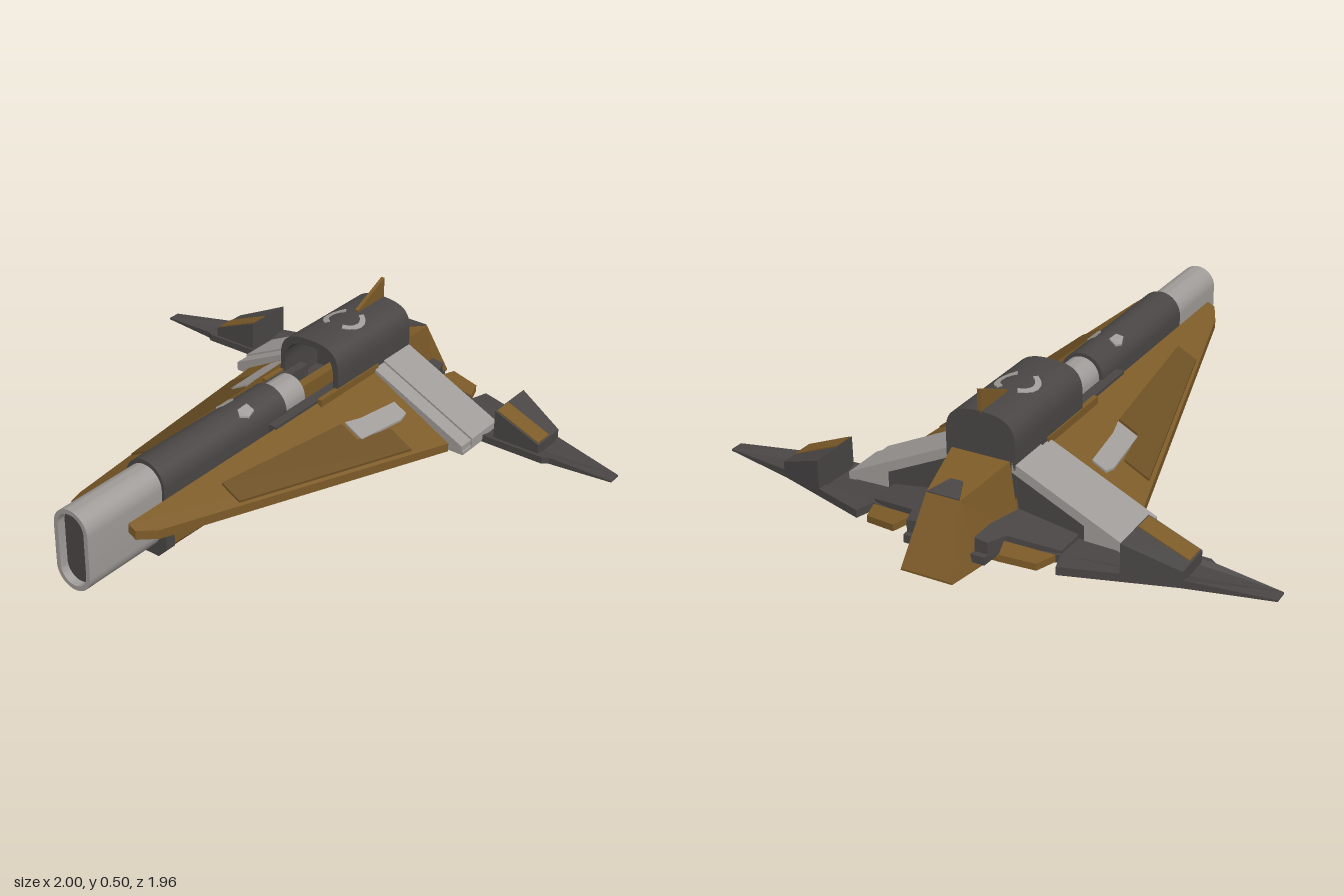
import * as THREE from 'three';
import { toCreasedNormals } from 'three/addons/utils/BufferGeometryUtils.js';

const material = (name, color) => {
  const m = new THREE.MeshStandardMaterial({ color });
  m.name = name;
  return m;
};

// Solid skinned over a stack of matching rings; flat facets
function skin(rings, contour) {
  const pos = [];
  const tri = (a, b, c) => [a, b, c].forEach((p) => pos.push(...p));
  const n = contour.length;
  for (let k = 0; k < rings.length - 1; k++) {
    for (let i = 0; i < n; i++) {
      const j = (i + 1) % n;
      const [a, b, c, d] = [rings[k][i], rings[k][j], rings[k + 1][j], rings[k + 1][i]];
      tri(a, b, c);
      tri(a, c, d);
    }
  }
  const last = rings[rings.length - 1];
  for (const [a, b, c] of THREE.ShapeUtils.triangulateShape(contour, [])) {
    tri(last[a], last[b], last[c]);
    tri(rings[0][a], rings[0][c], rings[0][b]);
  }
  const g = new THREE.BufferGeometry();
  g.setAttribute('position', new THREE.Float32BufferAttribute(pos, 3));
  g.computeVertexNormals();
  return g;
}

// Plate from a plan outline [x, z], with heights given by functions of |x|, z
function plate(outline, top, bottom, side = 1) {
  let pts = outline.map(([x, z]) => new THREE.Vector2(x * side, -z));
  if (THREE.ShapeUtils.isClockWise(pts)) pts = pts.reverse();
  const ring = (f) => pts.map((p) => [p.x, f(Math.abs(p.x), -p.y), -p.y]);
  return skin([ring(bottom), ring(top)], pts);
}

// Symmetric loft, back to front: each section is [z, [[halfWidth, y], ...]] listed bottom to top
function loft(sections) {
  const rings = sections.map(([z, half]) => [
    ...half.map(([x, y]) => [x, y, z]),
    ...[...half].reverse().map(([x, y]) => [-x, y, z]),
  ]);
  return skin(rings, rings[0].map(([x, y]) => new THREE.Vector2(x, y)));
}

// Upright stadium outline
function stadium(Path, r, y0, y1) {
  const p = new Path();
  p.absarc(0, y1 - r, r, 0, Math.PI, false);
  p.absarc(0, y0 + r, r, Math.PI, Math.PI * 2, false);
  p.closePath();
  return p;
}

function extrude(shape, z0, z1) {
  const g = new THREE.ExtrudeGeometry(shape, { depth: z1 - z0, bevelEnabled: false, curveSegments: 12 });
  return toCreasedNormals(g.translate(0, 0, z0), 0.6);
}

export function createModel() {
  const gold = material('ochre paint', 0x7d5b28);
  const panelGold = material('dark ochre paint', 0x6c4f23);
  const dark = material('dark metal', 0x4a4646);
  const light = material('pale metal', 0xa09c99);

  const model = new THREE.Group();
  const add = (name, geometry, mat) => {
    const mesh = new THREE.Mesh(geometry, mat);
    mesh.name = name;
    model.add(mesh);
  };
  const box = (name, mat, x0, x1, y0, y1, z0, z1) => add(name,
    new THREE.BoxGeometry(x1 - x0, y1 - y0, z1 - z0)
      .translate((x0 + x1) / 2, (y0 + y1) / 2, (z0 + z1) / 2), mat);
  const level = (y) => () => y;

  // Long barrel: hollow pale nose, dark sleeve, pale rear end
  const nose = stadium(THREE.Shape, 0.07, 0.04, 0.33);
  nose.holes.push(stadium(THREE.Path, 0.054, 0.056, 0.314));
  add('noseShell', extrude(nose, 0.64, 0.98), light);
  add('noseCore', extrude(stadium(THREE.Shape, 0.054, 0.056, 0.314), 0.64, 0.95), dark);
  add('barrelSleeve', extrude(stadium(THREE.Shape, 0.08, 0.06, 0.345), 0.02, 0.645), dark);
  add('barrelRear', extrude(stadium(THREE.Shape, 0.066, 0.06, 0.332), -0.1, 0.02), light);

  // Central body under the barrel
  add('body', loft([
    [-0.6, [[0.12, 0.08], [0.12, 0.22]]],
    [0.1, [[0.12, 0.08], [0.105, 0.2]]],
    [0.62, [[0.085, 0.08], [0.085, 0.15]]],
  ]), dark);
  add('belly', loft([
    [-0.5, [[0.09, 0.02], [0.15, 0.06], [0.14, 0.11]]],
    [0.63, [[0.06, 0.02], [0.085, 0.05], [0.085, 0.09]]],
  ]), gold);
  add('bellyNose', loft([
    [0.62, [[0.06, 0.015], [0.095, 0.05], [0.095, 0.11]]],
    [0.66, [[0.06, 0.015], [0.095, 0.05], [0.095, 0.11]]],
  ]), dark);

  // Tail hull with flared foot
  add('tailFoot', loft([
    [-0.8, [[0.15, 0.005], [0.12, 0.08]]],
    [-0.65, [[0.19, 0.003], [0.16, 0.09]]],
    [-0.34, [[0.19, 0], [0.185, 0.012]]],
  ]), gold);
  add('tail', loft([
    [-0.98, [[0.092, 0.005], [0.09, 0.012]]],
    [-0.87, [[0.11, 0.005], [0.06, 0.23]]],
    [-0.65, [[0.14, 0.005], [0.105, 0.27]]],
    [-0.6, [[0.14, 0.005], [0.105, 0.27]]],
  ]), gold);
  add('tailTopPanel', plate([[0.058, -0.87], [0.022, -0.79], [-0.022, -0.79], [-0.058, -0.87]],
    (x, z) => 0.234 + (z + 0.87) * 0.18, (x, z) => 0.227 + (z + 0.87) * 0.18), dark);
  add('tailRearPanel', plate([[0.056, -0.875], [0.065, -0.935], [-0.065, -0.935], [-0.056, -0.875]],
    (x, z) => 0.229 + (z + 0.87) * 1.98, (x, z) => 0.215 + (z + 0.87) * 1.98), dark);

  // Arched housing, open at the front
  const arch = (Path, w, y0, y1) => {
    const p = new Path();
    p.moveTo(-w * 0.85, y0);
    p.lineTo(w * 0.85, y0);
    p.lineTo(w, y0 + 0.1);
    p.lineTo(w, y1 - 0.1);
    p.bezierCurveTo(w, y1 - 0.03, w * 0.75, y1, 0, y1);
    p.bezierCurveTo(-w * 0.75, y1, -w, y1 - 0.03, -w, y1 - 0.1);
    p.lineTo(-w, y0 + 0.1);
    p.closePath();
    return p;
  };
  const mouth = arch(THREE.Shape, 0.125, 0.06, 0.42);
  mouth.holes.push(arch(THREE.Path, 0.105, 0.08, 0.395));
  add('housingMouth', extrude(mouth, -0.4, -0.21), dark);
  add('housing', extrude(arch(THREE.Shape, 0.125, 0.06, 0.42), -0.65, -0.4), dark);
  box('barrelLink', gold, -0.018, 0.018, 0.2, 0.265, -0.42, -0.1);

  // Upright tail fin
  const fin = new THREE.Shape([[-0.49, 0.425], [-0.65, 0.495], [-0.65, 0.41], [-0.49, 0.41]]
    .map(([z, y]) => new THREE.Vector2(-z, y)));
  add('topFin', new THREE.ExtrudeGeometry(fin, { depth: 0.014, bevelEnabled: false })
    .rotateY(Math.PI / 2).translate(-0.007, 0, 0), gold);

  const wingTop = (x) => 0.252 - (x - 0.11) * 0.55;
  const slabTop = (x) => 0.27 - (x - 0.11) * 0.48;
  const finTop = (x) => 0.165 - (x - 0.545) * 0.41;
  const tailWingTop = (x) => (x > 0.72 ? 0.062 - (x - 0.72) * 0.08 : 0.062);
  const archTop = (x) => 0.425 - Math.max(0, x - 0.03) * 0.3;
  const off = (f, d) => (x, z) => f(x, z) + d;

  for (const s of [1, -1]) {
    const side = s > 0 ? 'left' : 'right';
    const add2 = (name, mat, outline, top, bottom) => add(side + name, plate(outline, top, bottom, s), mat);
    const rect = (x0, x1, z0, z1) => [[x0, z0], [x1, z0], [x1, z1], [x0, z1]];

    // Sloping main wing with raised panel and pale patch
    add2('Wing', gold, [[0.107, 0.84], [0.135, 0.84], [0.17, 0.77], [0.45, -0.43], [0.107, -0.43]],
      wingTop, off(wingTop, -0.032));
    add2('WingPanel', panelGold,
      [[0.4, -0.27], [0.31, -0.27], [0.28, -0.115], [0.212, -0.115], [0.16, 0.46], [0.232, 0.46]],
      off(wingTop, 0.008), off(wingTop, -0.002));
    add2('WingPatch', light,
      [[0.25, -0.38], [0.3, -0.38], [0.308, -0.34], [0.288, -0.13], [0.216, -0.13], [0.232, -0.2]],
      off(wingTop, 0.011), off(wingTop, 0.003));
    add2('BodyRail', dark, rect(0.072, 0.112, -0.3, 0.12), level(0.262), level(0.15));
    add2('WingRidge', gold, rect(0.112, 0.13, -0.45, -0.11), level(0.268), level(0.22));

    // Pale stepped slab over the wing root, with its supports
    add2('Slab', light, rect(0.11, 0.51, -0.65, -0.49), slabTop, off(slabTop, -0.036));
    add2('SlabFront', light, rect(0.11, 0.505, -0.49, -0.43), off(slabTop, -0.008), off(slabTop, -0.036));
    add2('SlabCore', dark, rect(0.12, 0.36, -0.64, -0.46), off(slabTop, -0.034), level(0.036));
    add2('SlabEnd', light, rect(0.36, 0.508, -0.645, -0.435), off(slabTop, -0.03), level(0.036));

    // Flat rear wing
    add2('RearWing', dark,
      [[0.08, -0.88], [0.145, -0.88], [0.15, -0.8], [0.34, -0.76], [0.36, -0.825], [0.72, -0.715],
        [1, -0.65], [1, -0.6], [0.77, -0.575], [0.75, -0.56], [0.08, -0.56]],
      tailWingTop, level(0.034));
    add2('RearWingRoot', dark, [[0.1, -0.86], [0.145, -0.86], [0.17, -0.79], [0.34, -0.75], [0.34, -0.64], [0.1, -0.64]],
      (x) => 0.11 - (x - 0.1) * 0.16, level(0.05));
    add2('TailFlap', gold, [[0.165, -0.795], [0.19, -0.87], [0.305, -0.845], [0.33, -0.77]],
      (x) => 0.082 - (x - 0.165) * 0.1, (x) => 0.058 - (x - 0.165) * 0.1);

    // Wedge fin on the rear wing with painted top
    add2('WedgeFin', dark, [[0.545, -0.768], [0.725, -0.715], [0.725, -0.575], [0.545, -0.575]],
      finTop, level(0.05));
    add2('WedgeFinPaint', gold, rect(0.55, 0.72, -0.655, -0.582), off(finTop, 0.004), off(finTop, -0.002));

    // Pale markings: barrel spot and half ring on the housing
    add2('BarrelSpot', light, [[0.028, 0.17], [0.055, 0.165], [0.062, 0.2], [0.05, 0.235], [0.03, 0.22]],
      (x) => 0.27 + Math.sqrt(0.0064 - x * x) + 0.002, (x) => 0.264 + Math.sqrt(0.0064 - x * x));
    const arc = (r, n) => Array.from({ length: n }, (_, i) => {
      const a = -1.05 + (2.1 * i) / (n - 1);
      return [Math.cos(a) * r, -0.415 + Math.sin(a) * r];
    });
    add2('HousingMark', light, [...arc(0.076, 7), ...arc(0.056, 7).reverse()],
      archTop, off(archTop, -0.008));
  }
  return model;
}
